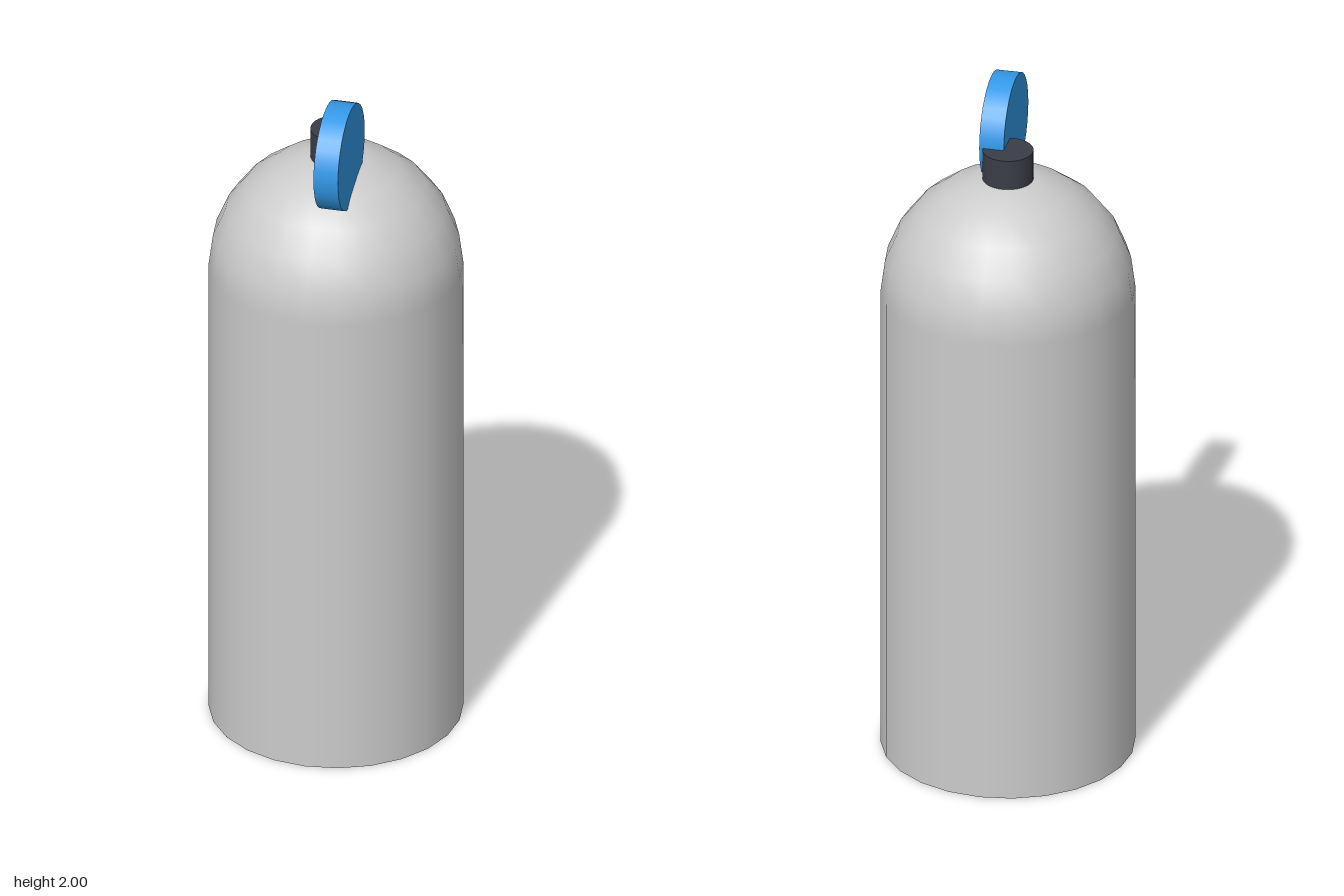
import * as THREE from 'three';

export function createModel() {
  const group = new THREE.Group();
  const R = 0.354, bodyHeight = 1.416;

  const grey = new THREE.MeshStandardMaterial({ color: 0xcccccc });
  const dark = new THREE.MeshStandardMaterial({ color: 0x3b3d46 });
  const blue = new THREE.MeshStandardMaterial({ color: 0x3399e8 });

  function add(name, geometry, material, x, y, z) {
    const mesh = new THREE.Mesh(geometry, material);
    mesh.name = name;
    mesh.position.set(x, y, z);
    group.add(mesh);
    return mesh;
  }

  // Tank body with flat base
  add('tankBody', new THREE.CylinderGeometry(R, R, bodyHeight, 24), grey, 0, bodyHeight / 2, 0);

  // Rounded shoulder: upper half of a sphere
  add('tankDome', new THREE.SphereGeometry(R, 24, 6, 0, Math.PI * 2, 0, Math.PI / 2), grey, 0, bodyHeight, 0);

  // Valve neck, sunk into the dome
  add('valveNeck', new THREE.CylinderGeometry(0.071, 0.071, 0.14, 32), dark, 0, 1.779, 0);

  // Valve wheel: upright disc, offset to the left and front
  const wheel = add('valveWheel', new THREE.CylinderGeometry(0.152, 0.152, 0.07, 32), blue, 0.045, 1.848, 0.143);
  wheel.rotation.z = Math.PI / 2;

  return group;
}
